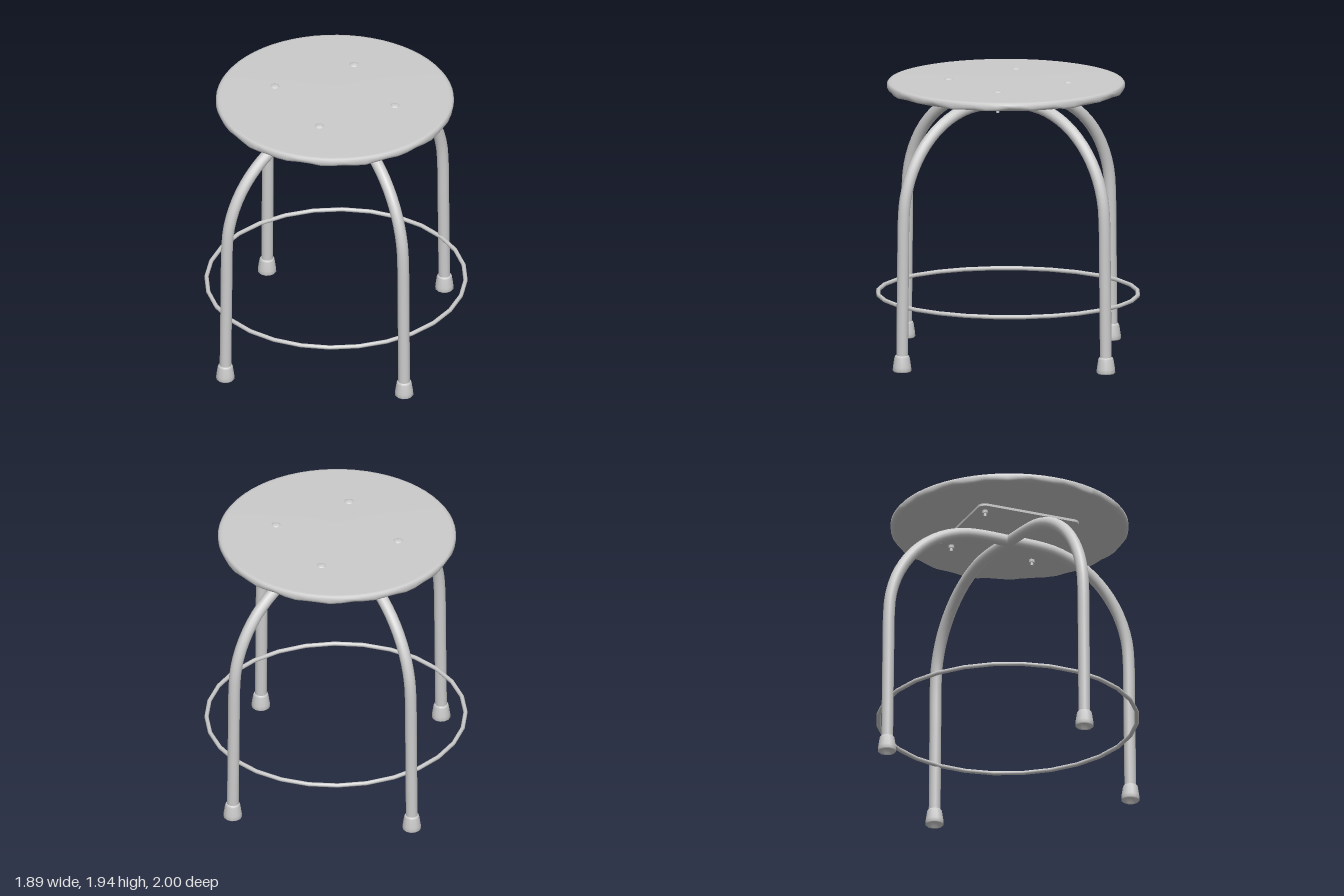
import * as THREE from 'three';

const material = new THREE.MeshStandardMaterial({ color: 0xcccccc });
const openMaterial = new THREE.MeshStandardMaterial({ color: 0xcccccc, side: THREE.DoubleSide });

export function createModel() {
  const group = new THREE.Group();
  const add = (name, geometry, x = 0, y = 0, z = 0, mat = material) => {
    const mesh = new THREE.Mesh(geometry, mat);
    mesh.name = name;
    mesh.position.set(x, y, z);
    group.add(mesh);
    return mesh;
  };
  const lathe = (pairs, sides) =>
    new THREE.LatheGeometry(pairs.map(([r, y]) => new THREE.Vector2(r, y)), sides);

  // Round seat with a softly uneven, hand-worn rim
  const seat = lathe([
    [0, 1.868], [0.79, 1.866], [0.812, 1.873], [0.82, 1.888],
    [0.82, 1.91], [0.81, 1.922], [0.79, 1.927], [0, 1.929],
  ], 64);
  const p = seat.attributes.position;
  for (let i = 0; i < p.count; i++) {
    const x = p.getX(i), y = p.getY(i), z = p.getZ(i);
    if (Math.hypot(x, z) < 0.8) continue;
    const a = Math.atan2(z, x);
    if (y < 1.9) p.setY(i, y + 0.006 * Math.sin(18 * a) + 0.004 * Math.sin(7 * a));
  }
  seat.computeVertexNormals();
  add('seat', seat);

  // Thin mounting plate with rounded corners
  const h = 0.375, r = 0.05;
  const shape = new THREE.Shape();
  shape.absarc(h - r, h - r, r, 0, Math.PI / 2);
  shape.absarc(r - h, h - r, r, Math.PI / 2, Math.PI);
  shape.absarc(r - h, r - h, r, Math.PI, Math.PI * 1.5);
  shape.absarc(h - r, r - h, r, Math.PI * 1.5, Math.PI * 2);
  shape.closePath();
  const plate = new THREE.ExtrudeGeometry(shape, { depth: 0.018, bevelEnabled: false, curveSegments: 5 });
  plate.rotateX(-Math.PI / 2);
  plate.rotateY(Math.PI / 4 + 0.42);
  add('mountingPlate', plate, 0, 1.832, 0);

  // Four bolts: domed head, shank and nut
  for (const [x, z] of [[-0.17, -0.4], [0.39, -0.18], [-0.4, 0.17], [0.17, 0.36]]) {
    add('boltHead', lathe([[0.033, 0], [0.031, 0.006], [0.02, 0.012], [0, 0.014]], 12), x, 1.924, z);
    add('boltShank', new THREE.CylinderGeometry(0.011, 0.011, 0.13, 8), x, 1.85, z);
    add('nut', new THREE.CylinderGeometry(0.021, 0.021, 0.022, 6), x, 1.818, z);
  }

  // Two bent tubes crossing under the seat, each forming a pair of legs
  const arch = (a, b) => {
    const points = [];
    const half = ([x, z]) => {
      const pts = [];
      const len = Math.hypot(x, z), at = (d, y) => new THREE.Vector3((x / len) * d, y, (z / len) * d);
      const top = len * 0.985, flat = 0.22;
      pts.push(at(len, 0.03), at(len * 0.995, 0.4), at(len * 0.99, 0.75));
      for (let i = 0; i <= 8; i++) {
        const t = (i / 8) * Math.PI / 2;
        pts.push(at(flat + (top - flat) * Math.cos(t), 1.05 + 0.735 * Math.sin(t)));
      }
      return pts;
    };
    points.push(...half(a), new THREE.Vector3(0, 1.785, 0), ...half(b).reverse());
    return new THREE.TubeGeometry(new THREE.CatmullRomCurve3(points), 72, 0.041, 14);
  };
  const feet = [[0.88, 0.29], [-0.88, -0.305], [-0.19, 0.935], [0.19, -0.935]];
  add('legArch', arch(feet[0], feet[1]), 0, 0, 0, openMaterial);
  add('legArch', arch(feet[2], feet[3]), 0, 0, 0, openMaterial);

  // Flared rubber feet, hollow underneath
  const foot = lathe([
    [0, 0.04], [0.036, 0.038], [0.043, 0.004], [0.058, 0], [0.065, 0.008],
    [0.063, 0.035], [0.053, 0.1], [0.047, 0.113], [0.038, 0.115],
  ], 12);
  for (const [x, z] of feet) add('rubberFoot', foot, x, 0, z, openMaterial);

  // Foot ring
  const ring = new THREE.TorusGeometry(0.89, 0.015, 8, 28);
  ring.rotateX(Math.PI / 2);
  ring.scale(0.995, 1, 1.015);
  add('footRing', ring, -0.003, 0.44, -0.015);

  return group;
}
